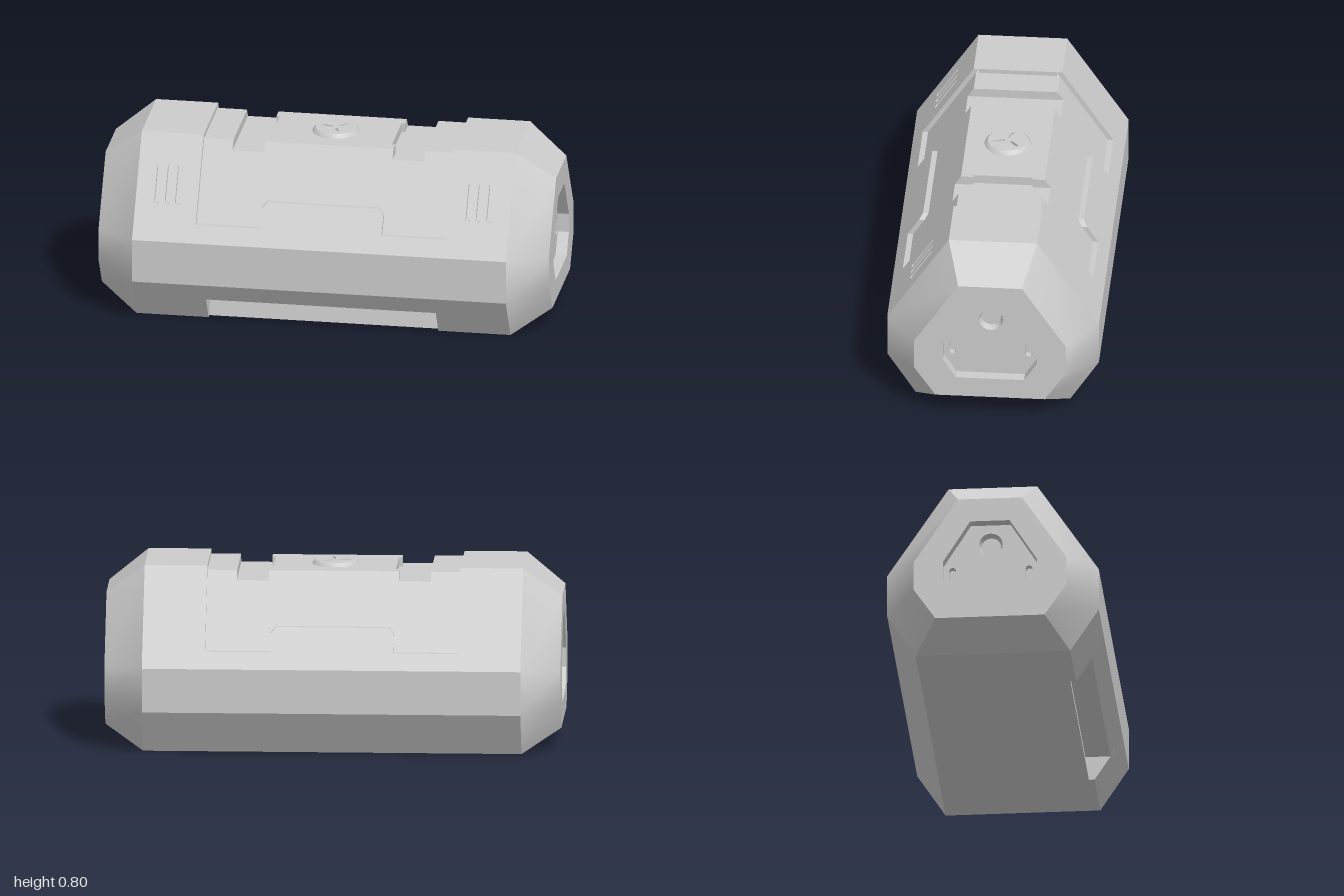
import * as THREE from 'three';
import { toCreasedNormals } from 'three/addons/utils/BufferGeometryUtils.js';

const material = new THREE.MeshStandardMaterial({ color: 0xcccccc });
const openMaterial = new THREE.MeshStandardMaterial({ color: 0xcccccc, side: THREE.DoubleSide });

const SKIN = 0.024; // sideways thickness of the sloped armour
const slopeZ = (y) => 0.195 + (0.8 - y) * (0.27 / 0.41);
const mirrored = (half) => [...half, ...half.map(([a, b]) => [-a, b]).reverse()];
const toShape = (points) => new THREE.Shape(points.map(([a, b]) => new THREE.Vector2(a, b)));

function add(parent, name, geometry, mat = material) {
  const mesh = new THREE.Mesh(geometry, mat);
  mesh.name = name;
  parent.add(mesh);
  return mesh;
}

// Extrude a (z, y) outline along x
function extrudeX(shape, x0, x1) {
  const g = new THREE.ExtrudeGeometry(shape, { depth: x1 - x0, bevelEnabled: false, curveSegments: 10 });
  return g.rotateY(Math.PI / 2).translate(x0, 0, 0);
}
const prismX = (points, x0, x1) => extrudeX(toShape(points.map(([z, y]) => [-z, y])), x0, x1);

// Rounded slot outline running from r0 to r1 along an angle
function slot(cx, cy, angle, r0, r1, radius) {
  const p = new THREE.Path(), c = Math.cos(angle), s = Math.sin(angle);
  p.absarc(cx + c * r1, cy + s * r1, radius, angle - Math.PI / 2, angle + Math.PI / 2);
  p.absarc(cx + c * r0, cy + s * r0, radius, angle + Math.PI / 2, angle + Math.PI * 1.5);
  p.closePath();
  return p;
}

// Core cross-section, with optional top channel and front underside cut
function coreProfile(topY, cut) {
  const topZ = slopeZ(topY) - SKIN;
  const side = [[0.465, 0.195], [0.465, 0.39], [slopeZ(0.39) - SKIN, 0.39], [topZ, topY]];
  const foot = cut ? [[0.315, 0], [0.3, 0.11], [0.41, 0.11]] : [[0.34, 0]];
  return [...foot, ...side, ...side.map(([z, y]) => [-z, y]).reverse(), [-0.34, 0]];
}

// Sloped armour plate with the stepped panel opening
function slopePlate(vents) {
  const shape = toShape(mirrored([
    [0.83, 0.39], [0.83, 0.8], [0.555, 0.8], [0.555, 0.46], [0.27, 0.46], [0.27, 0.535], [0.25, 0.56],
  ]));
  if (vents) for (const side of [-1, 1]) for (const x of [0.645, 0.69, 0.737])
    shape.holes.push(slot(side * x, 0.605, Math.PI / 2, -0.065, 0.065, 0.01));
  const g = new THREE.ExtrudeGeometry(shape, { depth: SKIN, bevelEnabled: false, curveSegments: 6 });
  const p = g.attributes.position;
  for (let i = 0; i < p.count; i++) p.setZ(i, p.getZ(i) + slopeZ(p.getY(i)) - SKIN);
  g.computeVertexNormals();
  return g;
}

const outerEnd = mirrored([[0.34, 0], [0.465, 0.195], [0.465, 0.39], [0.195, 0.8]]);
const innerEnd = mirrored([[0.24, 0.1], [0.335, 0.24], [0.335, 0.375], [0.14, 0.67]]);
const recess = mirrored([[0.15, 0.195], [0.207, 0.285], [0.207, 0.37], [0.087, 0.562]]);

// Tapered ring between the body and the end face
function taper() {
  const pos = [], n = outerEnd.length;
  const a = (i) => [0.83, outerEnd[i % n][1], outerEnd[i % n][0]];
  const b = (i) => [1, innerEnd[i % n][1], innerEnd[i % n][0]];
  for (let i = 0; i < n; i++)
    pos.push(...a(i), ...b(i + 1), ...a(i + 1), ...a(i), ...b(i), ...b(i + 1));
  const g = new THREE.BufferGeometry();
  g.setAttribute('position', new THREE.Float32BufferAttribute(pos, 3));
  return toCreasedNormals(g, 0.6);
}

function endCap() {
  const cap = new THREE.Group();
  cap.name = 'endCap';
  add(cap, 'endTaper', taper(), openMaterial);
  const face = toShape(innerEnd);
  face.holes.push(toShape(recess));
  add(cap, 'endFace', extrudeX(face, 0.95, 1));
  // Sunken plate with a round port and two slots
  const plate = toShape(innerEnd);
  plate.holes.push(new THREE.Path().absarc(0, 0.47, 0.053, 0, Math.PI * 2));
  for (const z of [-0.168, 0.168]) plate.holes.push(slot(z, 0.325, Math.PI / 2, -0.023, 0.023, 0.015));
  add(cap, 'recessPlate', extrudeX(plate, 0.92, 0.95));
  add(cap, 'recessBacking', prismX(innerEnd, 0.9, 0.92));
  const rim = new THREE.CylinderGeometry(0.053, 0.043, 0.03, 32, 1, true).rotateZ(-Math.PI / 2);
  add(cap, 'portRim', rim.translate(0.935, 0.47, 0), openMaterial);
  return cap;
}

function topButton() {
  const button = new THREE.Group();
  button.name = 'topButton';
  const rim = [[0.103, 0], [0.1, 0.006], [0.088, 0.017], [0.078, 0.017]].map(([r, y]) => new THREE.Vector2(r, y));
  add(button, 'buttonRim', toCreasedNormals(new THREE.LatheGeometry(rim, 40), 0.4), openMaterial);
  const disc = new THREE.Shape().absarc(0, 0, 0.079, 0, Math.PI * 2);
  for (const deg of [164, 44, -76])
    disc.holes.push(slot(0, 0, THREE.MathUtils.degToRad(deg), 0.02, 0.06, 0.006));
  const g = new THREE.ExtrudeGeometry(disc, { depth: 0.012, bevelEnabled: false, curveSegments: 20 });
  add(button, 'buttonDisc', g.rotateX(-Math.PI / 2).translate(0, 0.005, 0));
  button.position.y = 0.78;
  return button;
}

export function createModel() {
  const group = new THREE.Group();
  group.name = 'container';

  // Core built from slices along x: centre, channels, and outer parts
  add(group, 'coreCentre', prismX(coreProfile(0.78, true), -0.27, 0.27));
  const slices = [
    ['channel', 0.27, 0.425, 0.74, true],
    ['coreShoulder', 0.425, 0.51, 0.78, true],
    ['coreOuter', 0.51, 0.83, 0.78, false],
  ];
  for (const side of [-1, 1]) {
    for (const [name, x0, x1, topY, cut] of slices) {
      const [a, b] = side > 0 ? [x0, x1] : [-x1, -x0];
      add(group, name, prismX(coreProfile(topY, cut), a, b));
    }
    // Lips either side of the small notch in the channel wall
    const [a, b] = side > 0 ? [0.27, 0.285] : [-0.285, -0.27];
    const lip = [[0.13, 0.74], [slopeZ(0.74) - SKIN, 0.74], [slopeZ(0.78) - SKIN, 0.78], [0.13, 0.78]];
    add(group, 'channelLip', prismX(lip, a, b));
    add(group, 'channelLip', prismX(lip.map(([z, y]) => [-z, y]).reverse(), a, b));
    // Raised roof plate
    const roof = add(group, 'roofPlate', new THREE.BoxGeometry(0.275, 0.02, 0.342));
    roof.position.set(side * 0.6925, 0.79, 0);
    // Tapered end
    const cap = endCap();
    if (side < 0) cap.rotation.y = Math.PI;
    group.add(cap);
  }

  // Sloped armour, vents on the front only
  add(group, 'frontArmour', slopePlate(true));
  add(group, 'backArmour', slopePlate(false)).rotation.y = Math.PI;

  group.add(topButton());
  return group;
}
